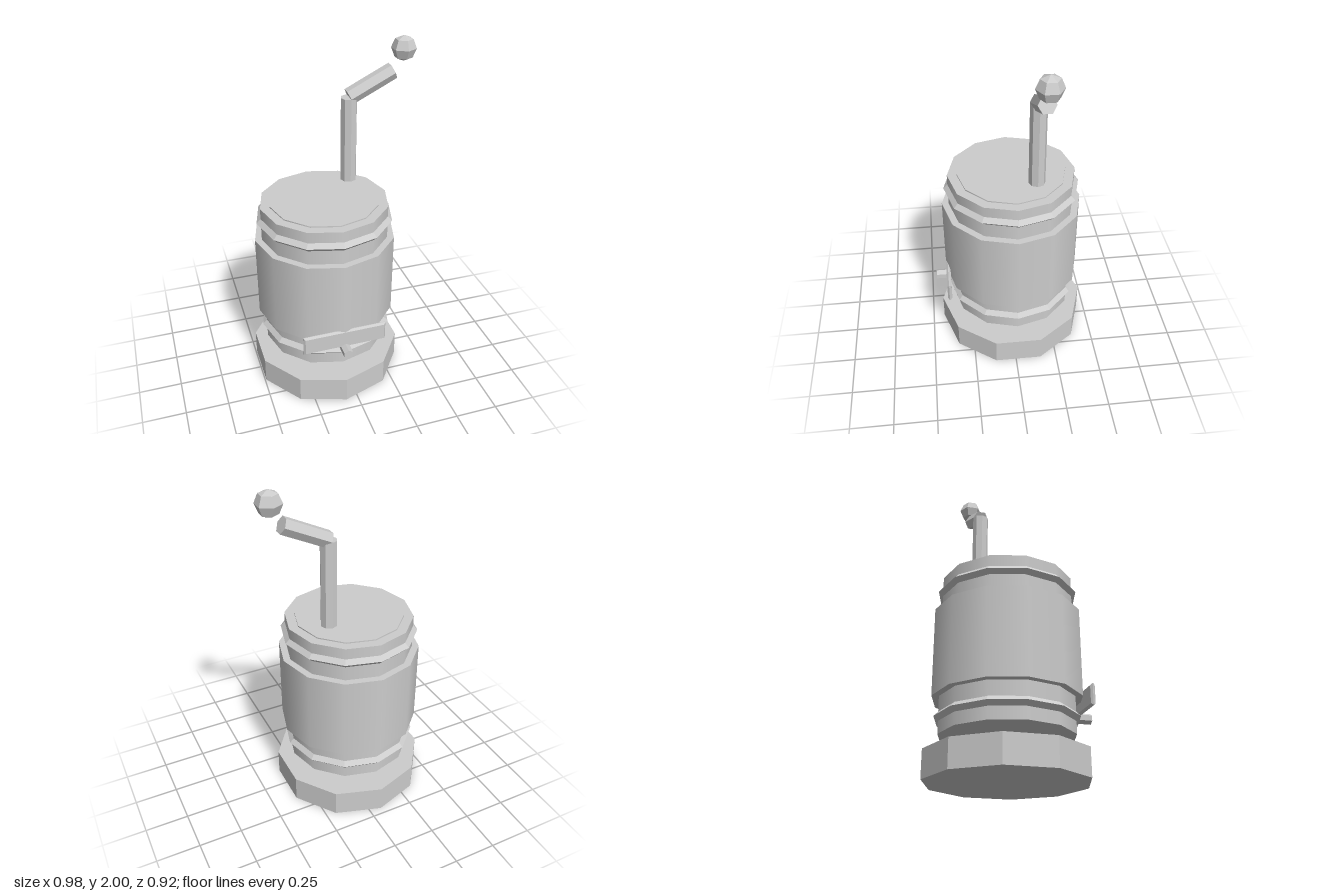
import * as THREE from 'three';

export function createModel() {
  const model = new THREE.Group();
  const smooth = new THREE.MeshStandardMaterial({ color: 0xcccccc });
  smooth.name = 'plain grey';
  const flat = smooth.clone();
  flat.name = 'plain grey faceted';
  flat.flatShading = true;

  const CX = -0.07, CZ = -0.015; // axis of the barrel

  function add(name, geometry, material, x, y, z) {
    const mesh = new THREE.Mesh(geometry, material);
    mesh.name = name;
    mesh.position.set(x, y, z);
    model.add(mesh);
    return mesh;
  }

  // upright prism or cylinder between two heights
  function drum(name, radius, y0, y1, sides, material, x = CX, z = CZ) {
    const geometry = new THREE.CylinderGeometry(radius, radius, y1 - y0, sides);
    return add(name, geometry, material, x, (y0 + y1) / 2, z);
  }

  // base and barrel
  drum('base', 0.445, 0, 0.155, 10, flat);
  drum('barrel', 0.37, 0.235, 1.133, 12, smooth);
  drum('barrelBand', 0.41, 0.437, 0.933, 12, smooth);
  drum('lid', 0.315, 1.12, 1.14, 12, smooth);

  // hoops with a diamond section
  for (const [name, y] of [['lowerHoop', 0.328], ['upperHoop', 1.044]]) {
    const hoop = new THREE.TorusGeometry(0.37, 0.025, 4, 12).rotateX(Math.PI / 2);
    add(name, hoop, flat, CX, y, CZ);
  }

  // crank: post, sloping arm and knob
  const px = 0.115, pz = -0.137;
  drum('crankPost', 0.047, 1.18, 1.68, 8, flat, px, pz);

  const armStart = new THREE.Vector2(px, 1.683), armEnd = new THREE.Vector2(0.367, 1.807);
  const span = armEnd.clone().sub(armStart);
  const arm = add('crankArm', new THREE.CylinderGeometry(0.048, 0.048, span.length(), 6), flat,
    (armStart.x + armEnd.x) / 2, (armStart.y + armEnd.y) / 2, pz);
  arm.rotation.z = span.angle() - Math.PI / 2;

  const knob = new THREE.SphereGeometry(0.071, 6, 4).rotateY(Math.PI / 6);
  add('crankKnob', knob, flat, 0.427, 1.927, pz);

  // bevelled plate on the front
  const w = 0.235, h = 0.049;
  const outline = new THREE.Shape([[-w, -h], [w, -h], [w, h], [-w, h]].map(p => new THREE.Vector2(...p)));
  const plate = new THREE.ExtrudeGeometry(outline, {
    depth: 0.004, bevelThickness: 0.011, bevelSize: 0.01, bevelSegments: 1,
  });
  add('frontPlate', plate, flat, CX, 0.438, 0.381);

  // short spout under the plate
  const spout = new THREE.CylinderGeometry(0.03, 0.03, 0.1, 6).rotateX(Math.PI / 2);
  add('spout', spout, flat, CX, 0.375, 0.408);

  return model;
}
